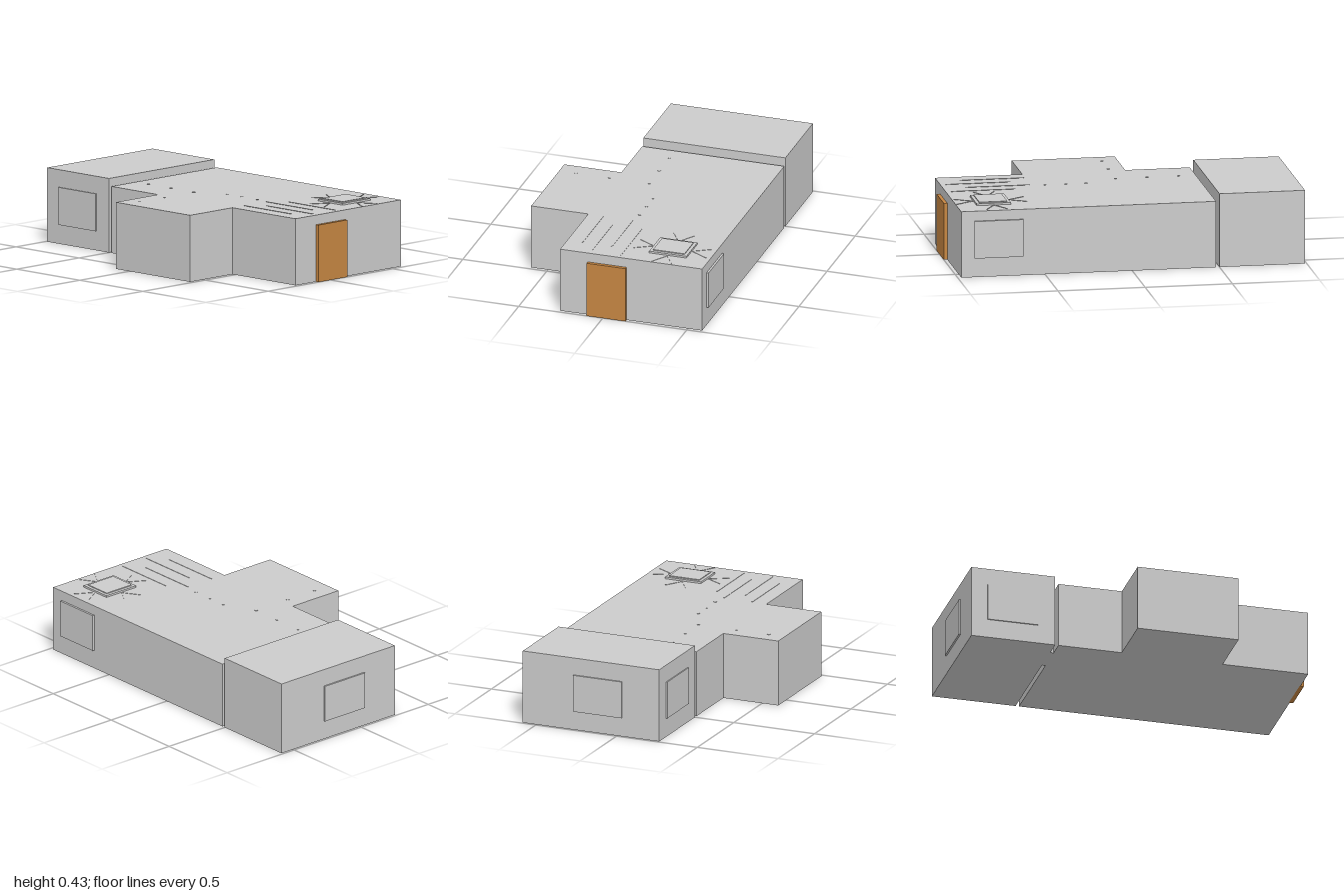
import * as THREE from 'three';

const grey = new THREE.MeshStandardMaterial({ color: 0xcccccc });
const wood = new THREE.MeshStandardMaterial({ color: 0xc68642 });
const pale = new THREE.MeshStandardMaterial({ color: 0xffffff });

export function createModel() {
  const model = new THREE.Group();

  const add = (name, geometry, material = grey) => {
    const mesh = new THREE.Mesh(geometry, material);
    mesh.name = name;
    model.add(mesh);
    return mesh;
  };
  // Box given by its low and high corners
  const box = (name, [x0, y0, z0], [x1, y1, z1], material) =>
    add(name, new THREE.BoxGeometry(x1 - x0, y1 - y0, z1 - z0), material)
      .position.set((x0 + x1) / 2, (y0 + y1) / 2, (z0 + z1) / 2);

  // Main building with its side wing, extruded from the floor plan
  const roof = 0.382;
  const plan = [
    [-0.26, 0.98], [0.585, 0.98], [0.585, -0.48], [-0.26, -0.48],
    [-0.26, -0.11], [-0.6, -0.11], [-0.6, 0.48], [-0.26, 0.48],
  ].map(([x, z]) => new THREE.Vector2(x, -z));
  const body = new THREE.ExtrudeGeometry(new THREE.Shape(plan), { depth: roof, bevelEnabled: false });
  add('mainBuilding', body.rotateX(-Math.PI / 2));

  // Taller rear building, separated by a narrow gap
  box('rearBuilding', [-0.26, 0, -0.99], [0.585, 0.425, -0.5]);

  // Doors
  box('frontDoor', [-0.095, 0, 0.975], [0.135, 0.327, 1], wood);
  box('connectingDoor', [-0.155, 0, -0.502], [0.02, 0.325, -0.478]);

  // Windows
  box('sideWindow', [0.58, 0.11, 0.625], [0.597, 0.325, 0.905]);
  box('rearWindow', [-0.03, 0.11, -1], [0.27, 0.325, -0.985]);
  box('rearSideWindow', [-0.267, 0.11, -0.895], [-0.255, 0.325, -0.6]);

  // Roof hatch with a raised lid
  box('hatchBase', [0.232, roof - 0.002, 0.672], [0.454, 0.393, 0.868]);
  box('hatchLid', [0.25, 0.392, 0.69], [0.436, 0.398, 0.85]);

  // Thin raised strip on the roof between two points
  const strip = (name, [x0, z0], [x1, z1]) => {
    const length = Math.hypot(x1 - x0, z1 - z0);
    const mesh = add(name, new THREE.BoxGeometry(length, 0.003, 0.006), pale);
    mesh.position.set((x0 + x1) / 2, roof + 0.0005, (z0 + z1) / 2);
    mesh.rotation.y = -Math.atan2(z1 - z0, x1 - x0);
  };

  // Staggered roof stripes
  [-0.17, -0.085, 0.005, 0.09].forEach((x, i) => {
    const z = i % 2 ? 0.58 : 0.485;
    strip('roofStripe', [x, z], [x, z + 0.37]);
  });

  // Chevrons pointing at the hatch from all four sides
  for (const s of [-1, 1]) {
    for (const t of [-1, 1]) {
      strip('hatchChevron', [0.342 + s * 0.113, 0.77], [0.342 + s * 0.216, 0.77 + t * 0.06]);
      strip('hatchChevron', [0.342, 0.77 + s * 0.102], [0.342 + t * 0.062, 0.77 + s * 0.202]);
    }
  }

  // Small roof studs
  const stud = new THREE.CylinderGeometry(0.009, 0.009, 0.003, 12);
  for (const [x, z] of [
    [-0.065, -0.38], [-0.065, -0.2], [-0.065, -0.02], [-0.3, -0.02],
    [-0.5, -0.02], [0.02, 0.165], [0.02, 0.28], [0.02, 0.4],
  ]) add('roofStud', stud, pale).position.set(x, roof + 0.0005, z);

  return model;
}
